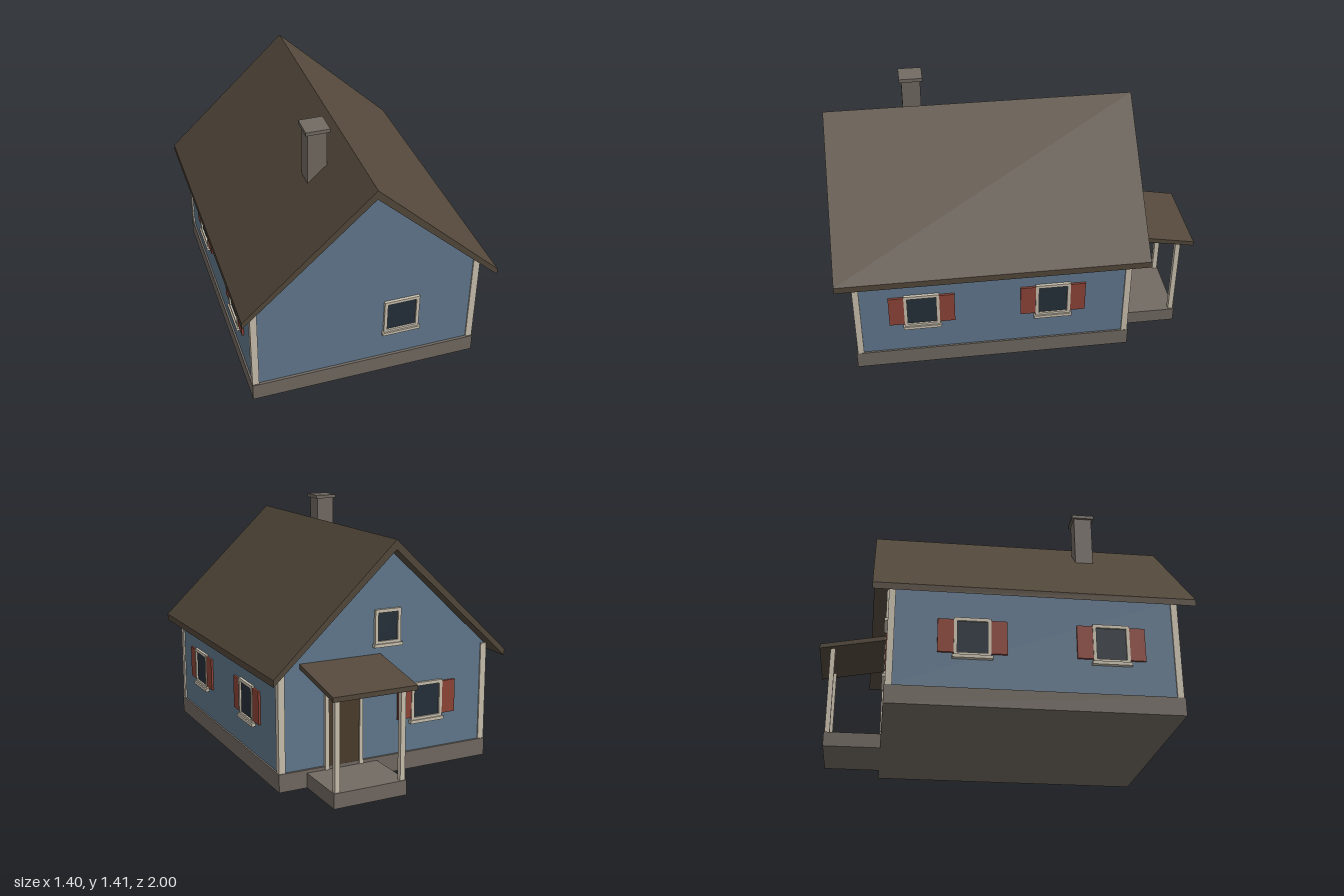
import * as THREE from 'three';

const mat = (name, color) => {
  const m = new THREE.MeshStandardMaterial({ color });
  m.name = name;
  return m;
};

export function createModel() {
  const house = new THREE.Group();
  house.name = 'house';
  const siding = mat('blue siding', 0x627a90);
  const roofing = mat('brown roofing', 0x54493b);
  const trim = mat('cream trim', 0xcdc4b2);
  const stone = mat('grey stone', 0x736b63);
  const paint = mat('red shutter paint', 0x8f4538);
  const glass = mat('dark glass', 0x25303a);
  const wood = mat('door wood', 0x4c3d2d);

  const add = (name, geometry, material, parent = house) => {
    const mesh = new THREE.Mesh(geometry, material);
    mesh.name = name;
    parent.add(mesh);
    return mesh;
  };
  // Box given by its minimum and maximum corners
  const box = (name, material, [x0, y0, z0], [x1, y1, z1], parent) => {
    const g = new THREE.BoxGeometry(x1 - x0, y1 - y0, z1 - z0);
    g.translate((x0 + x1) / 2, (y0 + y1) / 2, (z0 + z1) / 2);
    return add(name, g, material, parent);
  };
  const shapeOf = (pts) => new THREE.Shape(pts.map(([x, y]) => new THREE.Vector2(x, y)));
  const prism = (shape, depth, z) =>
    new THREE.ExtrudeGeometry(shape, { depth, bevelEnabled: false }).translate(0, 0, z);
  const rect = (x0, y0, x1, y1) => [[x0, y0], [x1, y0], [x1, y1], [x0, y1]];

  const WX = 0.63, ZF = 0.905, ZB = -0.615;

  // Foundation and gabled walls
  box('foundation', stone, [-0.64, 0, -0.628], [0.64, 0.1, 0.92]);
  add('walls', prism(shapeOf([[-WX, 0.1], [WX, 0.1], [WX, 0.661], [0, 1.246], [-WX, 0.661]]), ZF - ZB, ZB), siding);

  // Corner boards
  for (const s of [-1, 1])
    for (const [z0, z1] of [[0.878, 0.913], [-0.623, -0.588]])
      box('cornerBoard', trim, [s * 0.62 - 0.0185, 0.1, z0], [s * 0.62 + 0.0185, 0.662, z1]);

  // Roof
  add('roof', prism(shapeOf([[-0.7, 0.601], [0, 1.247], [0.7, 0.601], [0.7, 0.638], [0, 1.299], [-0.7, 0.638]]), 1.71, -0.71), roofing);

  // Chimney
  const cx = -0.166, cz = 0.512;
  box('chimneyShaft', stone, [cx - 0.052, 0.95, cz - 0.052], [cx + 0.052, 1.392, cz + 0.052]);
  box('chimneyCap', stone, [cx - 0.065, 1.392, cz - 0.065], [cx + 0.065, 1.412, cz + 0.065]);

  // Window facing +z, centred on its own axis at wall surface z = 0
  const addWindow = (name, x, y, z, turn, w, h, shutters) => {
    const g = new THREE.Group();
    g.name = name;
    const b = 0.018, hw = w / 2, hh = h / 2;
    const frame = shapeOf(rect(-hw, -hh, hw, hh));
    frame.holes.push(new THREE.Path(rect(-hw + b, -hh + b, hw - b, hh - b).map(([px, py]) => new THREE.Vector2(px, py))));
    add('windowFrame', prism(frame, 0.016, 0), trim, g);
    box('windowGlass', glass, [-hw + b, -hh + b, 0], [hw - b, hh - b, 0.006], g);
    box('windowSill', trim, [-hw - 0.008, -hh - 0.014, 0], [hw + 0.008, -hh + 0.004, 0.024], g);
    if (shutters)
      for (const s of [-1, 1]) {
        const m = s * (hw + 0.042);
        box('shutter', paint, [m - 0.042, -hh + 0.018, 0], [m + 0.042, hh - 0.01, 0.012], g);
      }
    g.position.set(x, y, z);
    g.rotation.y = turn;
    house.add(g);
  };
  const WY = 0.381;
  addWindow('frontWindow', 0.2, WY, ZF, 0, 0.2, 0.214, false);
  for (const s of [-1, 1])
    for (const z of [0.543, -0.185])
      addWindow('sideWindow', s * WX, WY, z, s * Math.PI / 2, 0.195, 0.214, true);
  addWindow('backWindow', -0.25, WY, ZB, Math.PI, 0.195, 0.214, true);
  addWindow('atticWindow', 0, 0.825, ZB, Math.PI, 0.155, 0.19, false);

  // Back door with its surround
  const dx = 0.262;
  box('door', wood, [dx - 0.092, 0.08, ZB - 0.012], [dx + 0.092, 0.482, ZB]);
  for (const s of [-1, 1])
    box('doorJamb', trim, [dx + s * 0.102 - 0.01, 0.08, ZB - 0.018], [dx + s * 0.102 + 0.01, 0.482, ZB]);
  box('doorHead', trim, [dx - 0.112, 0.482, ZB - 0.018], [dx + 0.112, 0.502, ZB]);

  // Porch floor, posts and sloping roof
  box('porchFloor', stone, [0.06, 0, -0.944], [0.48, 0.082, -0.628]);
  for (const x of [0.082, 0.458])
    box('porchPost', trim, [x - 0.014, 0.082, -0.939], [x + 0.014, 0.592, -0.911]);
  // Profile is drawn in (-z, y), then turned so its depth runs along x
  const porchRoof = prism(shapeOf([[0.61, 0.65], [1.0, 0.578], [1.0, 0.604], [0.61, 0.678]]), 0.476, 0);
  porchRoof.rotateY(Math.PI / 2).translate(0.037, 0, 0);
  add('porchRoof', porchRoof, roofing);

  return house;
}
